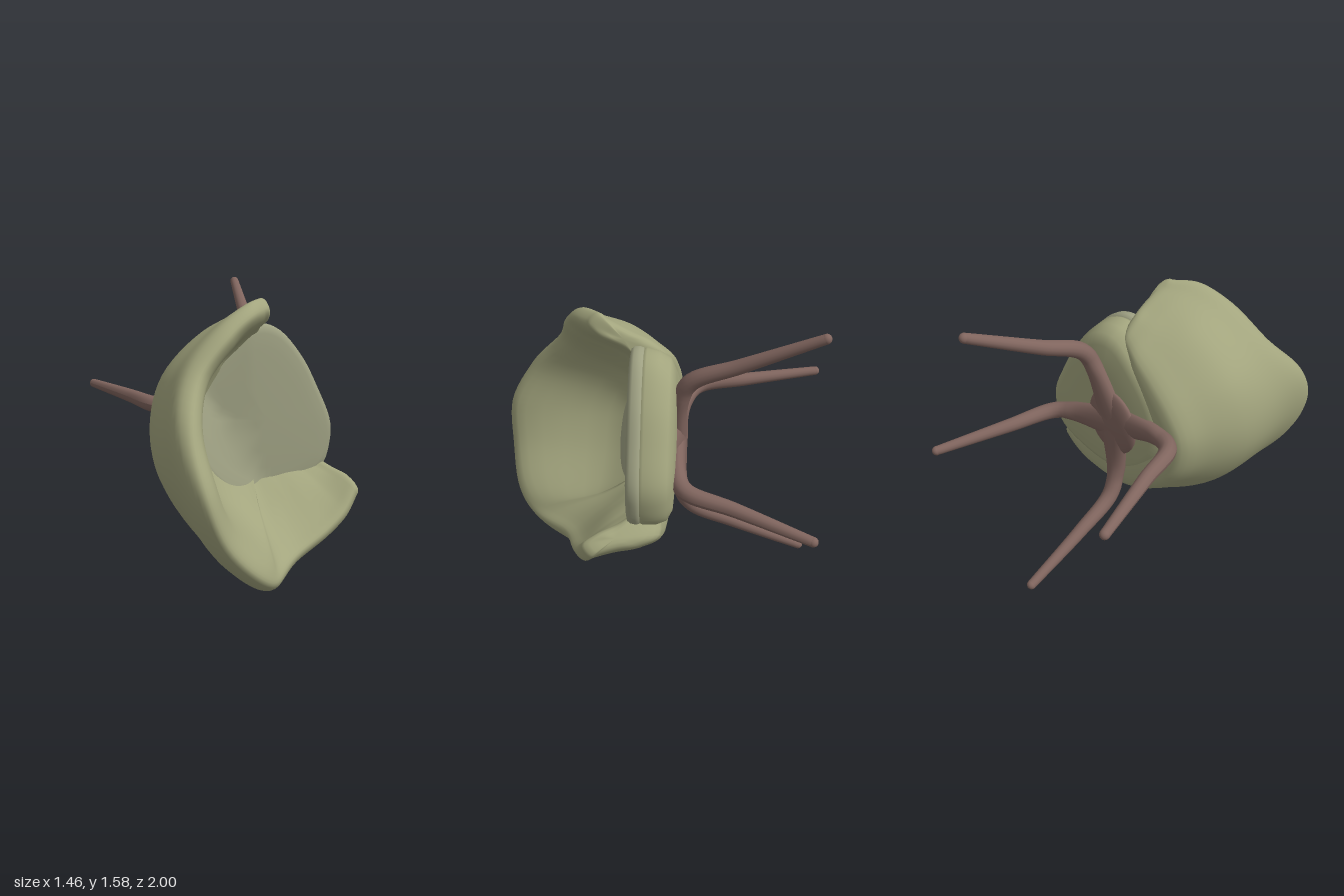
import * as THREE from 'three';

const V = (x, y, z) => new THREE.Vector3(x, y, z);
const green = new THREE.MeshStandardMaterial({ color: 0xa3a57e });
const cushionGreen = new THREE.MeshStandardMaterial({ color: 0x9fa183 });
const wood = new THREE.MeshStandardMaterial({ color: 0x80655e });

// Smooth closed skin over a list of equal rings; the two end rings are closed to a point.
function loft(rings) {
  const n = rings[0].length;
  const pos = [], idx = [];
  rings.forEach(r => r.forEach(p => pos.push(p.x, p.y, p.z)));
  for (let i = 0; i < rings.length - 1; i++)
    for (let j = 0; j < n; j++) {
      const a = i * n + j, b = i * n + (j + 1) % n;
      idx.push(a, b, a + n, b, b + n, a + n);
    }
  [0, rings.length - 1].forEach(i => {
    const c = centre(rings[i]), k = pos.length / 3;
    pos.push(c.x, c.y, c.z);
    for (let j = 0; j < n; j++) {
      const a = i * n + j, b = i * n + (j + 1) % n;
      idx.push(k, ...(i ? [a, b] : [b, a]));
    }
  });
  // turn the faces outward if the rings ran the other way
  let volume = 0;
  const at = k => V(pos[3 * k], pos[3 * k + 1], pos[3 * k + 2]);
  for (let i = 0; i < idx.length; i += 3) volume += at(idx[i]).dot(at(idx[i + 1]).cross(at(idx[i + 2])));
  if (volume < 0) idx.reverse();
  const g = new THREE.BufferGeometry();
  g.setAttribute('position', new THREE.Float32BufferAttribute(pos, 3));
  g.setIndex(idx);
  g.computeVertexNormals();
  return g;
}

function centre(ring) {
  return ring.reduce((s, p) => s.add(p), V(0, 0, 0)).divideScalar(ring.length);
}

function add(group, name, geometry, material) {
  const m = new THREE.Mesh(geometry, material);
  m.name = name;
  group.add(m);
  return m;
}

// Wraparound shell: columns run from one arm tip round the back to the other.
// Each column: bottom point, middle point, rim point.
const columns = [
  [[0.02, 1.27, -0.10], [0.03, 1.41, 0.10], [0.04, 1.51, 0.34]],
  [[-0.07, 1.21, -0.13], [-0.08, 1.39, 0.13], [-0.06, 1.49, 0.45]],
  [[-0.19, 1.11, -0.14], [-0.26, 1.32, 0.16], [-0.23, 1.39, 0.54]],
  [[-0.33, 0.96, -0.14], [-0.49, 1.10, 0.20], [-0.44, 1.18, 0.64]],
  [[-0.40, 0.81, -0.13], [-0.57, 0.85, 0.25], [-0.55, 0.92, 0.85]],
  [[-0.37, 0.62, -0.13], [-0.55, 0.60, 0.30], [-0.52, 0.62, 1.00]],
  [[-0.26, 0.47, -0.14], [-0.40, 0.33, 0.30], [-0.40, 0.33, 0.98]],
  [[-0.10, 0.35, -0.14], [-0.19, 0.14, 0.30], [-0.18, 0.10, 0.89]],
  [[0.05, 0.29, -0.14], [0.02, 0.06, 0.30], [-0.01, 0.005, 0.74]],
  [[0.20, 0.28, -0.14], [0.25, 0.11, 0.20], [0.21, 0.045, 0.50]],
  [[0.34, 0.31, -0.15], [0.43, 0.20, 0.15], [0.45, 0.14, 0.39]],
  [[0.45, 0.36, -0.15], [0.55, 0.28, 0.11], [0.59, 0.23, 0.33]],
  [[0.51, 0.41, -0.15], [0.62, 0.35, 0.08], [0.68, 0.33, 0.27]],
];

function shellGeometry() {
  const [low, mid, rim] = [0, 1, 2].map(k => new THREE.CatmullRomCurve3(columns.map(c => V(...c[k]))));
  const steps = 72, rings = [];
  for (let i = 0; i <= steps; i++) {
    const t = i / steps, tan = mid.getTangent(THREE.MathUtils.clamp(t, 0.08, 0.92));
    const inward = V(-tan.y, tan.x, 0).normalize();
    const B = low.getPoint(t), M = mid.getPoint(t), R = rim.getPoint(t);
    const off = (p, d, z = 0) => p.clone().addScaledVector(inward, d).add(V(0, 0, z));
    // thinner at the arm tips, fuller along the second arm
    const thick = (0.21 + 0.07 * t) * Math.min(1, 0.55 + Math.sin(Math.PI * t) * 0.7);
    const section = new THREE.CatmullRomCurve3([
      B, off(B.clone().lerp(M, 0.45), -0.025), M, off(M.clone().lerp(R, 0.5), -0.01),
      off(R, 0, -0.06), off(R, 0.06), off(R, 0.13, -0.07),
      off(M, thick), off(B, thick * 1.1, 0.06),
    ], true);
    rings.push(section.getPoints(44).slice(0, 44));
  }
  // rounded arm tips
  const roundEnd = (ring, next) => {
    const c = centre(ring), dir = c.clone().sub(centre(next)).setZ(0).normalize();
    return [[0.4, 0.058], [0.7, 0.05], [0.88, 0.034], [0.97, 0.016]].map(([s, d]) =>
      ring.map(p => p.clone().sub(c).multiplyScalar(s).add(c).addScaledVector(dir, d)));
  };
  const head = roundEnd(rings[0], rings[1]);
  const tail = roundEnd(rings[steps], rings[steps - 1]).reverse();
  return loft([...head, ...rings, ...tail]);
}

// Seat outline, lofted through [scale, height] levels with a slight tilt to the front
const outline = new THREE.CatmullRomCurve3([
  [0.08, 1.35], [0.22, 1.33], [0.38, 1.17], [0.50, 0.96], [0.59, 0.75], [0.59, 0.62], [0.54, 0.48],
  [0.35, 0.37], [0.10, 0.32], [-0.10, 0.40], [-0.27, 0.57], [-0.34, 0.76], [-0.28, 0.98], [-0.10, 1.21],
].map(([x, y]) => V(x, y, 0)), true);

function seatGeometry(levels, backRise) {
  const cx = 0.15, cy = 0.8;
  const pts = outline.getPoints(72).slice(0, 72);
  return loft(levels.map(([s, z]) => pts.map(p => {
    const x = (p.x - cx) * s, y = (p.y - cy) * s;
    const rise = backRise * Math.max(0, -0.85 * x - 0.52 * y - 0.22);
    return V(cx + x, cy + y, z - 0.12 * Math.max(x, -0.1) + rise);
  })));
}

// Tapered leg running out of the hub, round a bend and down to its tip; webbed near the hub
function legGeometry(points) {
  const path = new THREE.CatmullRomCurve3(points.map(p => V(...p)));
  const rings = 40, sides = 14;
  const g = new THREE.TubeGeometry(path, rings, 1, sides);
  const pos = g.attributes.position, v = V(0, 0, 0);
  for (let i = 0; i < pos.count; i++) {
    const t = Math.floor(i / (sides + 1)) / rings, c = path.getPointAt(t);
    const r = t < 0.35 ? 0.045 + 0.015 * t : 0.05 - 0.035 * (t - 0.35);
    const web = 1 + 1.3 * Math.max(0, 1 - t / 0.3);
    v.fromBufferAttribute(pos, i).sub(c).multiplyScalar(r).multiply(V(web, web, 1)).add(c);
    pos.setXYZ(i, v.x, v.y, v.z);
  }
  g.computeVertexNormals();
  return g;
}

export function createModel() {
  const chair = new THREE.Group();
  chair.name = 'armchair';

  add(chair, 'wraparoundShell', shellGeometry(), green);
  add(chair, 'seatBase', seatGeometry([
    [0.5, -0.18], [0.78, -0.17], [0.9, -0.14], [0.96, -0.08], [0.985, -0.01], [0.96, 0.03],
  ], 0), green);
  // cushion curving up into the back
  add(chair, 'seatCushion', seatGeometry([
    [0.95, 0.0], [0.985, 0.01], [1, 0.03], [0.995, 0.06], [0.97, 0.078], [0.9, 0.086],
    [0.75, 0.09], [0.6, 0.092], [0.4, 0.094], [0.15, 0.095],
  ], 0.6), cushionGreen);

  // Leg frame: hub plus four splayed legs
  const legs = {
    upperLeg: [[0.05, 0.80, -0.18], [0.16, 1.08, -0.20], [0.19, 1.21, -0.26], [0.22, 1.34, -0.52], [0.275, 1.555, -0.94]],
    rightLeg: [[0.02, 0.78, -0.17], [-0.28, 0.84, -0.165], [-0.44, 0.865, -0.23], [-0.54, 0.88, -0.50], [-0.70, 0.90, -0.93]],
    leftLeg: [[0.08, 0.75, -0.18], [0.35, 0.70, -0.22], [0.46, 0.68, -0.28], [0.55, 0.66, -0.55], [0.70, 0.62, -0.97]],
    lowerLeg: [[0.04, 0.72, -0.18], [0.02, 0.42, -0.19], [0.00, 0.28, -0.26], [-0.02, 0.17, -0.52], [-0.04, 0.03, -0.92]],
  };
  for (const [name, points] of Object.entries(legs)) {
    const leg = new THREE.Group();
    leg.name = name;
    add(leg, 'legRod', legGeometry(points), wood);
    add(leg, 'legTip', new THREE.SphereGeometry(0.0275, 14, 10), wood).position.set(...points[4]);
    chair.add(leg);
  }
  const hub = add(chair, 'legHub', new THREE.SphereGeometry(1, 28, 16), wood);
  hub.scale.set(0.19, 0.21, 0.045);
  hub.position.set(0.05, 0.76, -0.18);
  return chair;
}
